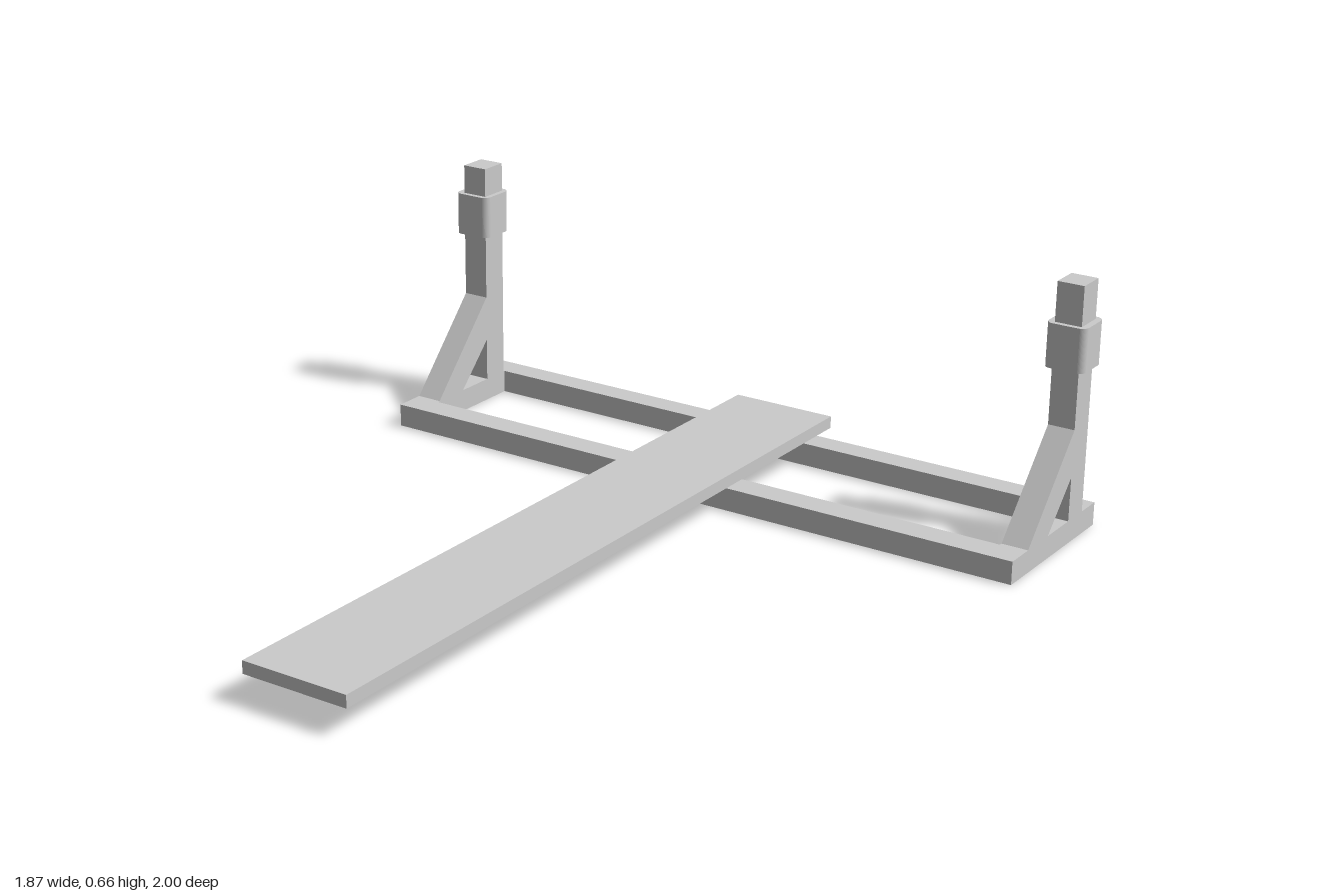
import * as THREE from 'three';

const material = new THREE.MeshStandardMaterial({ color: 0xcccccc });

function part(name, geometry, x = 0, y = 0, z = 0) {
  const mesh = new THREE.Mesh(geometry, material);
  mesh.name = name;
  mesh.position.set(x, y, z);
  return mesh;
}

// Box given by its minimum and maximum corners
function block(name, [x0, y0, z0], [x1, y1, z1]) {
  return part(name, new THREE.BoxGeometry(x1 - x0, y1 - y0, z1 - z0),
    (x0 + x1) / 2, (y0 + y1) / 2, (z0 + z1) / 2);
}

function polygon(points) {
  return new THREE.Shape(points.map(([x, y]) => new THREE.Vector2(x, y)));
}

function roundedSquare(half, r) {
  const s = new THREE.Shape();
  const c = half - r;
  s.absarc(c, c, r, 0, Math.PI / 2);
  s.absarc(-c, c, r, Math.PI / 2, Math.PI);
  s.absarc(-c, -c, r, Math.PI, Math.PI * 1.5);
  s.absarc(c, -c, r, Math.PI * 1.5, Math.PI * 2);
  s.closePath();
  return s;
}

// Extrudes a floor plan (x, -z) upward
function extrudeUp(shape, height) {
  return new THREE.ExtrudeGeometry(shape, { depth: height, bevelEnabled: false, curveSegments: 6 })
    .rotateX(-Math.PI / 2);
}

export function createModel() {
  const model = new THREE.Group();
  const baseTop = 0.06;
  const outer = 0.915, inner = 0.845;

  // Rectangular floor frame
  const frame = polygon([[-outer, 0.506], [outer, 0.506], [outer, 0.952], [-outer, 0.952]]);
  frame.holes.push(polygon([[-inner, 0.58], [-inner, 0.884], [inner, 0.884], [inner, 0.58]]));
  model.add(part('floorFrame', extrudeUp(frame, baseTop)));

  // Long flat bench board
  model.add(block('benchBoard', [-0.151, 0.07, -1], [0.136, 0.102, 1]));

  // Diagonal brace outline in (-z, y)
  const brace = polygon([[0.588, baseTop], [0.693, baseTop], [0.804, 0.175], [0.804, 0.297]]);

  for (const [side, sign, collarX, collarY] of [['left', 1, 0.879, 0.445], ['right', -1, -0.884, 0.47]]) {
    const upright = new THREE.Group();
    upright.name = side + 'Upright';
    const x0 = sign > 0 ? inner : -outer;

    upright.add(block(side + 'Post', [x0, baseTop, -0.88], [x0 + 0.07, 0.66, -0.804]));

    const braceGeometry = new THREE.ExtrudeGeometry(brace, { depth: outer - inner, bevelEnabled: false });
    braceGeometry.rotateY(Math.PI / 2);
    upright.add(part(side + 'Brace', braceGeometry, x0));

    // Round-cornered sliding collar
    upright.add(part(side + 'Collar', extrudeUp(roundedSquare(0.0525, 0.02), 0.113), collarX, collarY, -0.843));
    model.add(upright);
  }
  return model;
}
